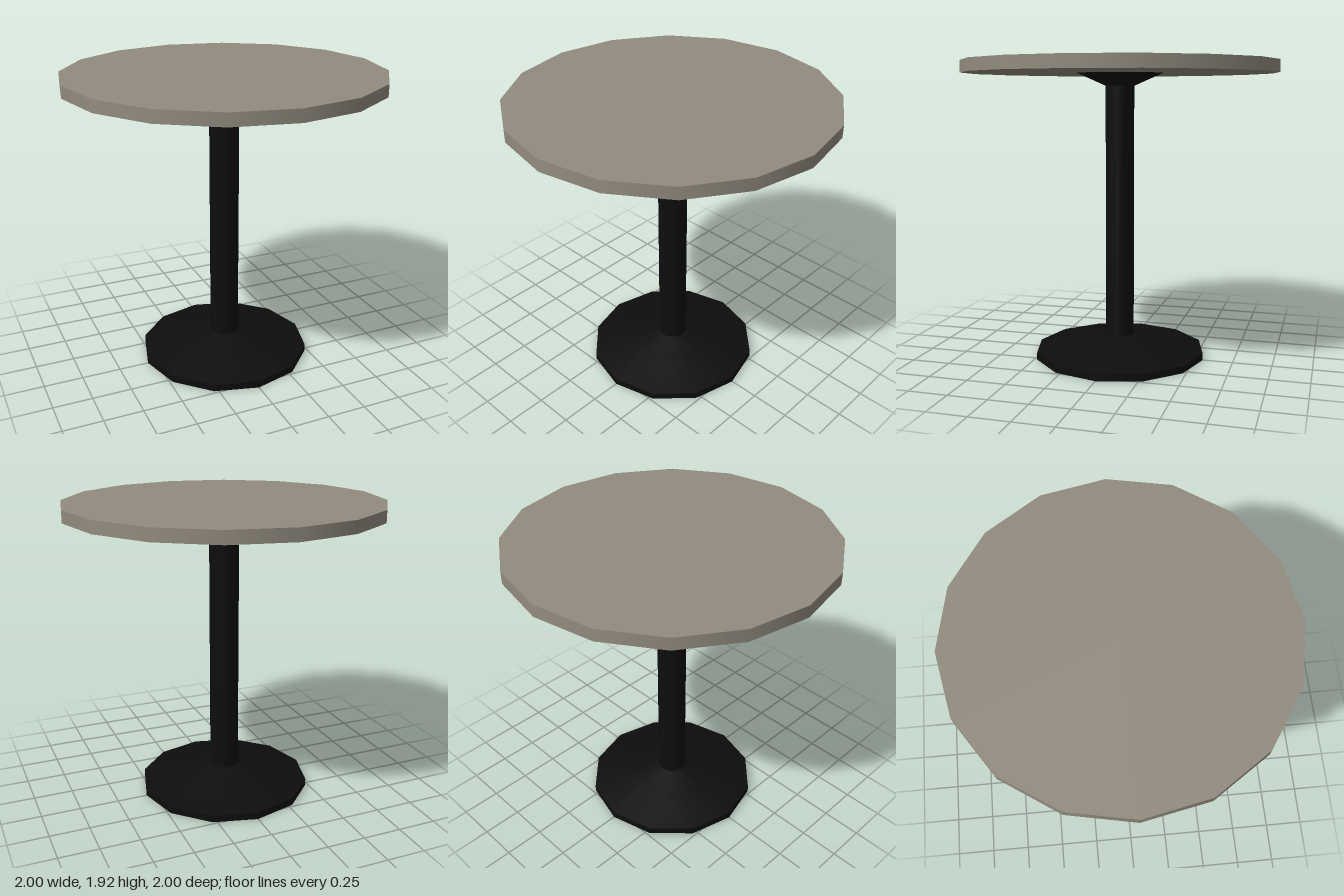
import * as THREE from 'three';

const SIDES = 12;

export function createModel() {
  const model = new THREE.Group();
  model.name = 'pedestalTable';

  const topMaterial = new THREE.MeshStandardMaterial({ color: 0x928b7e });
  const metal = new THREE.MeshStandardMaterial({ color: 0x0d0d0d });

  const add = (name, geometry, material, y = 0) => {
    const mesh = new THREE.Mesh(geometry, material);
    mesh.name = name;
    mesh.position.y = y;
    model.add(mesh);
  };
  // Cylinder or cone section standing between two heights
  const section = (name, rBottom, rTop, y0, y1, material, sides = SIDES, open = false) =>
    add(name, new THREE.CylinderGeometry(rTop, rBottom, y1 - y0, sides, 1, open), material, (y0 + y1) / 2);

  // Sixteen-sided table top
  section('tableTop', 1, 1, 1.84, 1.916, topMaterial, 16);

  // Flared bracket under the top
  section('topBracket', 0.094, 0.28, 1.76, 1.84, metal);

  // Central column
  section('column', 0.094, 0.094, 0.14, 1.76, metal, SIDES, true);

  // Foot: upright rim with a floor disc, then a shallow slope up to the column
  section('footRim', 0.556, 0.556, 0, 0.045, metal);
  const slope = [[0.556, 0.045], [0.28, 0.098], [0.094, 0.143]].map(([r, y]) => new THREE.Vector2(r, y));
  add('footSlope', new THREE.LatheGeometry(slope, SIDES), metal);

  return model;
}
